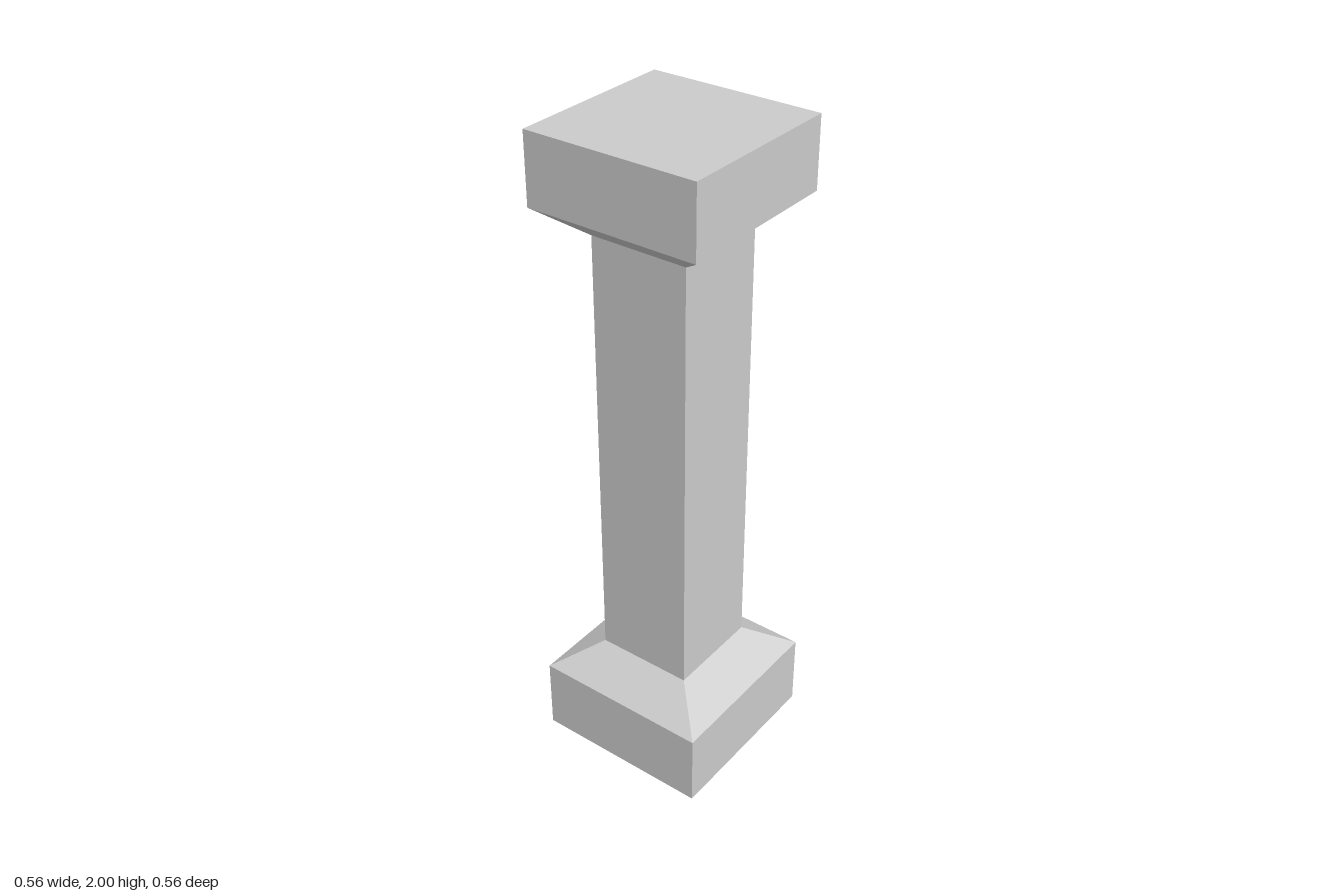
import * as THREE from 'three';

const material = new THREE.MeshStandardMaterial({ color: 0xcccccc, flatShading: true });

// Square part swept from [half width, height] pairs, listed from bottom to top
function squarePart(name, profile) {
  const points = profile.map(([half, y]) => new THREE.Vector2(half * Math.SQRT2, y));
  const mesh = new THREE.Mesh(new THREE.LatheGeometry(points, 4, Math.PI / 4), material);
  mesh.name = name;
  return mesh;
}

export function createModel() {
  const model = new THREE.Group();
  model.name = 'squareColumn';

  const baseHalf = 0.278, shaftHalf = 0.152, capitalHalf = 0.265;
  const shaftBottom = 0.32, shaftTop = 1.703;

  model.add(
    // Plinth with a sloped shoulder up to the shaft
    squarePart('base', [[0, 0], [baseHalf, 0], [baseHalf, 0.235], [shaftHalf, shaftBottom]]),
    // Plain square shaft
    squarePart('shaft', [[shaftHalf, shaftBottom], [shaftHalf, shaftTop]]),
    // Capital flaring out to a flat-topped block
    squarePart('capital', [[shaftHalf, shaftTop], [capitalHalf, 1.79], [capitalHalf, 2], [0, 2]])
  );
  return model;
}
